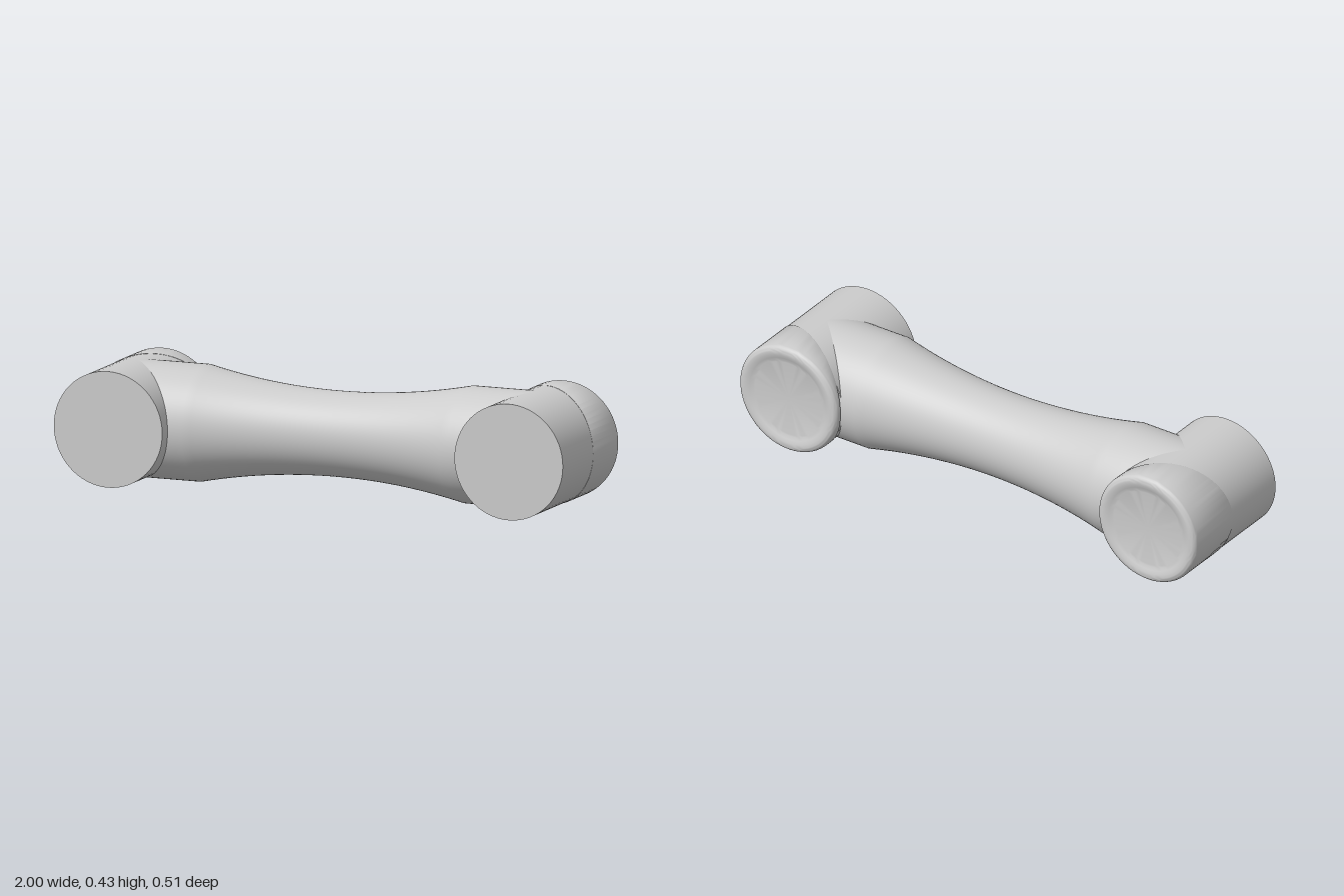
import * as THREE from 'three';
import { toCreasedNormals } from 'three/addons/utils/BufferGeometryUtils.js';

const R = 0.2145;       // cap radius
const TUBE = 0.2125;    // radius of the end barrels and arm ends
const END_X = 1 - R;    // axis of each end barrel
const SEAM = 0.12;      // seam depth on the barrel axis
const SLOPE = 0.49;     // slant of the seam
const CREASE = 0.6;

const material = new THREE.MeshStandardMaterial({ color: 0xcccccc });

function part(name, geometry) {
  const mesh = new THREE.Mesh(toCreasedNormals(geometry, CREASE), material);
  mesh.name = name;
  return mesh;
}

function lathe(points, segments = 64) {
  return new THREE.LatheGeometry(points.map(([r, t]) => new THREE.Vector2(r, t)), segments);
}

// Waisted arm: straight at both ends, necking in smoothly to the middle
function arm() {
  const half = 0.52, waist = 0.155;
  const points = [[TUBE, -END_X]];
  for (let i = -16; i <= 16; i++) {
    const u = i / 16;
    points.push([waist + (TUBE - waist) * u * u, u * half]);
  }
  points.push([TUBE, END_X]);
  return part('arm', lathe(points).rotateZ(-Math.PI / 2).translate(0, 0, -0.005));
}

// Rear cap: slanted front edge, rounded rim, shallow dished face
function cap(side) {
  const f = 0.022;
  const points = [[TUBE - 0.004, SEAM], [R - 0.001, SEAM], [R, SEAM + 0.002]];
  for (let i = 0; i <= 6; i++) {
    const a = (i / 6) * Math.PI / 2;
    points.push([R - f + f * Math.cos(a), 0.255 - f + f * Math.sin(a)]);
  }
  points.push([0.18, 0.2535], [0.167, 0.249], [0.155, 0.244], [0.148, 0.243], [0, 0.243]);
  const geometry = lathe(points).rotateX(-Math.PI / 2);
  const pos = geometry.attributes.position;
  for (let i = 0; i < pos.count; i++) {
    const z = pos.getZ(i);
    if (z > -SEAM - 0.005) pos.setZ(i, z + SLOPE * side * pos.getX(i));
  }
  return part('rearCap', geometry);
}

// Barrel across the end of the arm, with a flat front face
function barrel() {
  const geometry = new THREE.CylinderGeometry(TUBE, TUBE, 0.465, 64);
  return part('barrel', geometry.rotateX(Math.PI / 2).translate(0, 0, 0.255 - 0.465 / 2));
}

export function createModel() {
  const model = new THREE.Group();
  model.name = 'doubleElbowLink';
  const body = arm();
  body.position.y = R;
  model.add(body);
  for (const side of [-1, 1]) {
    const end = new THREE.Group();
    end.name = side > 0 ? 'leftJoint' : 'rightJoint';
    end.add(barrel(), cap(side));
    end.position.set(side * END_X, R, 0);
    model.add(end);
  }
  return model;
}
